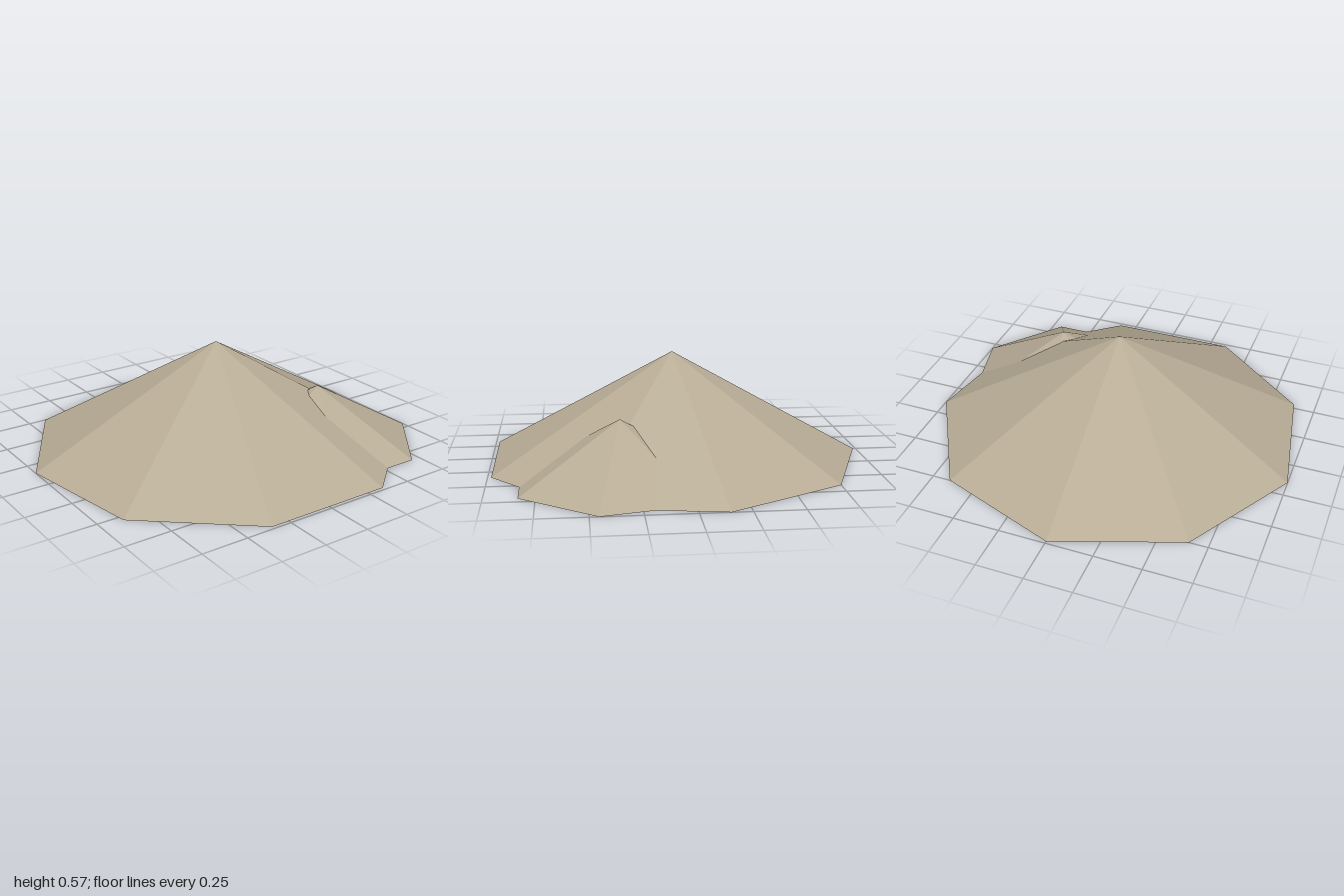
import * as THREE from 'three';

const stone = new THREE.MeshStandardMaterial({ color: 0xb8ac96, flatShading: true });
stone.name = 'sandstone';

// Faceted cone standing on the ground, with one corner pointing to the back
function peak(name, radius, height, sides, x, z) {
  const geometry = new THREE.ConeGeometry(radius, height, sides, 1, false, Math.PI);
  geometry.translate(0, height / 2, 0);
  const mesh = new THREE.Mesh(geometry, stone);
  mesh.name = name;
  mesh.position.set(x, 0, z);
  return mesh;
}

export function createModel() {
  const model = new THREE.Group();
  model.name = 'hill';
  // Broad nine-sided main hill
  model.add(peak('mainPeak', 1.0154, 0.57, 9, 0, 0.028));
  // Smaller seven-sided shoulder at the front left
  model.add(peak('sidePeak', 0.557, 0.315, 7, 0.457, 0.332));
  return model;
}
